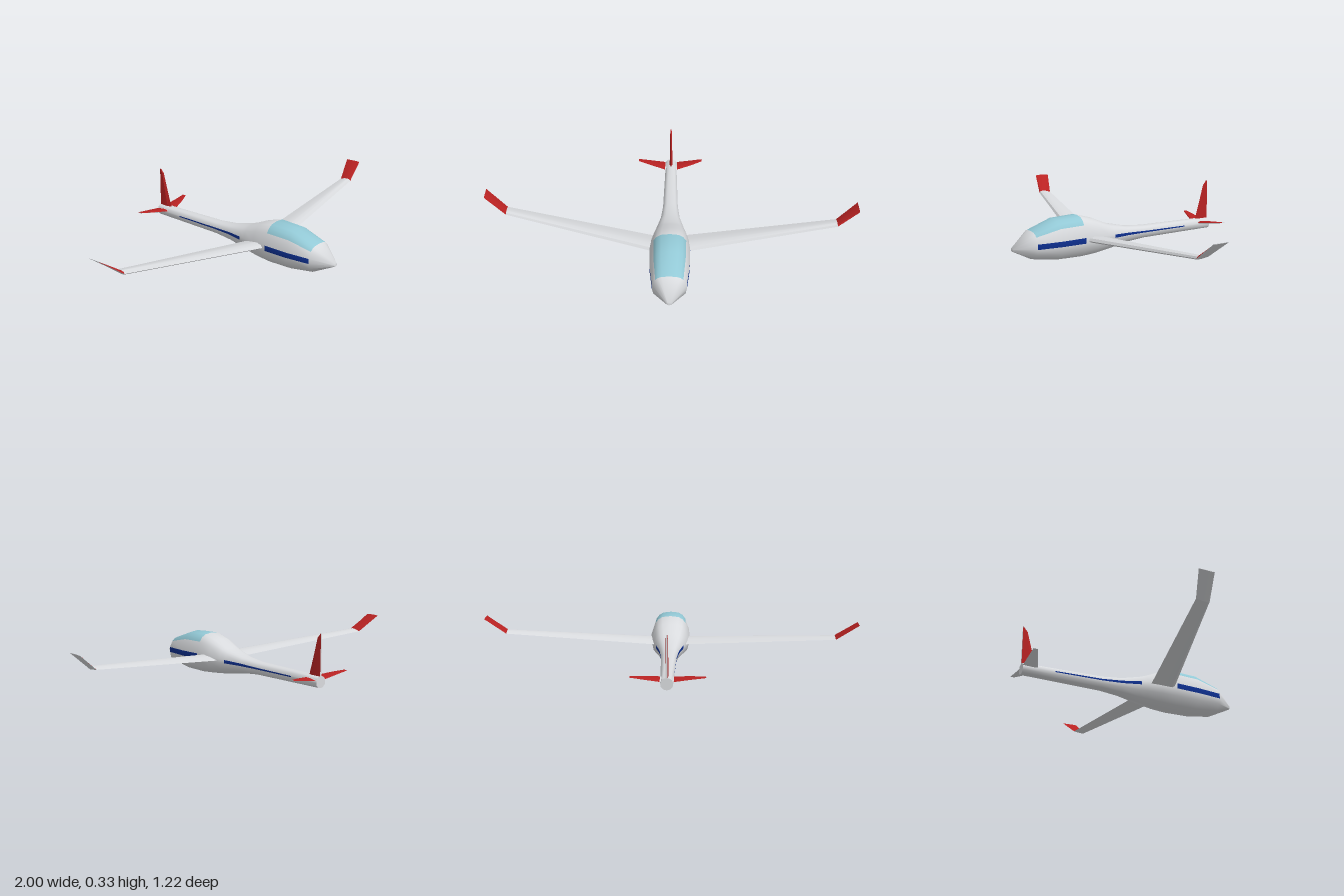
import * as THREE from 'three';
import { toCreasedNormals } from 'three/addons/utils/BufferGeometryUtils.js';

const mat = (name, color) => Object.assign(new THREE.MeshStandardMaterial({ color }), { name });

// Skins closed rings of [x, y, z] points; pick(i, j) gives the material slot
// of the panel after ring i, point j. Ends are capped with slot 0.
function loft(name, rings, materials, pick, crease) {
  const n = rings[0].length;
  const slots = materials.map(() => []);
  rings.slice(0, -1).forEach((_, i) => {
    for (let j = 0; j < n; j++) {
      const k = (j + 1) % n, a = i * n + j, b = i * n + k, c = a + n, d = b + n;
      slots[pick(i, j)].push(a, b, d, a, d, c);
    }
  });
  const last = (rings.length - 1) * n;
  for (let j = 1; j < n - 1; j++) {
    slots[0].push(0, j + 1, j, last, last + j, last + j + 1);
  }
  const points = rings.flat();
  // Turn all faces outward if the enclosed volume comes out negative
  const v = (i) => new THREE.Vector3(...points[i]);
  let volume = 0;
  for (const s of slots) {
    for (let t = 0; t < s.length; t += 3) volume += v(s[t]).dot(v(s[t + 1]).cross(v(s[t + 2])));
  }
  if (volume < 0) slots.forEach((s) => s.reverse());

  const geo = new THREE.BufferGeometry();
  geo.setAttribute('position', new THREE.Float32BufferAttribute(points.flat(), 3));
  geo.setIndex(slots.flat());
  let start = 0;
  slots.forEach((s, slot) => {
    if (s.length) geo.addGroup(start, s.length, slot);
    start += s.length;
  });
  const mesh = new THREE.Mesh(toCreasedNormals(geo, crease), materials);
  mesh.name = name;
  return mesh;
}

// Airfoil as [chord fraction, height]; the first four panels are the upper side
const AIRFOIL = [[0, 0], [0.08, 0.5], [0.3, 0.7], [0.65, 0.45], [1, 0], [0.5, -0.25], [0.12, -0.35]];
const airfoilRing = ([x, y, front, rear, thick]) =>
  AIRFOIL.map(([c, h]) => [x, y + h * thick, front + (rear - front) * c]);

export function createModel() {
  const model = new THREE.Group();
  model.name = 'glider';
  const white = mat('bodyWhite', 0xd9dbde);
  const red = mat('trimRed', 0xb82222);
  const blue = mat('stripeBlue', 0x0d2e8c);
  const glass = mat('canopyGlass', 0x93c9d6);

  // Fuselage stations: z, half width, bottom, stripe bottom, stripe top, top
  const stations = [
    [0.61, 0.012, 0.073, 0.08, 0.084, 0.092],
    [0.505, 0.088, 0.02, 0.087, 0.115, 0.17],
    [0.37, 0.103, 0.001, 0.088, 0.117, 0.22],
    [0.235, 0.107, 0, 0.09, 0.12, 0.225],
    [0.15, 0.1, 0.007, 0.09, 0.115, 0.2],
    [0.075, 0.084, 0.017, 0.09, 0.11, 0.166],
    [0.04, 0.075, 0.022, 0.09, 0.108, 0.154],
    [-0.06, 0.052, 0.04, 0.088, 0.102, 0.13],
    [-0.17, 0.041, 0.05, 0.087, 0.096, 0.12],
    [-0.435, 0.035, 0.053, 0.087, 0.093, 0.117],
    [-0.61, 0.031, 0.055, 0.085, 0.092, 0.115],
  ];
  const upper = [[0, 1], [0.42, 0.95], [0.64, 0.82], [0.8, 0.6], [1, 0]];
  const lower = [[1, 0], [0.93, 0.45], [0.55, 0.86], [0, 1]];
  const hull = stations.map(([z, w, bottom, s0, s1, top]) => {
    const half = [
      ...upper.map(([u, t]) => [u * w, s1 + (top - s1) * t, z]),
      ...lower.map(([u, t]) => [u * w, s0 + (bottom - s0) * t, z]),
    ];
    const mirrored = half.slice(1, -1).reverse().map(([x, y, q]) => [-x, y, q]);
    return [...half, ...mirrored];
  });
  model.add(loft('fuselage', hull, [white, glass, blue], (i, j) => {
    const panel = Math.min(j, 15 - j);
    if (panel < 3 && (i === 1 || i === 2)) return 1;
    if (panel === 4 && (i === 1 || i === 2 || (i >= 6 && i <= 8))) return 2;
    return 0;
  }, 0.95));

  // Wings with upturned tips: x, y, leading z, trailing z, thickness
  const wings = {
    leftWing: [
      [0.04, 0.097, 0.23, 0.09, 0.03],
      [0.1, 0.101, 0.222, 0.085, 0.028],
      [0.89, 0.17, 0.097, 0.03, 0.018],
      [1, 0.258, 0.085, -0.003, 0.003],
    ],
    rightWing: [
      [-0.04, 0.097, 0.235, 0.1, 0.03],
      [-0.1, 0.101, 0.222, 0.088, 0.028],
      [-0.885, 0.17, 0.008, -0.064, 0.018],
      [-1, 0.258, -0.025, -0.108, 0.003],
    ],
  };
  for (const [name, sections] of Object.entries(wings)) {
    model.add(loft(name, sections.map(airfoilRing), [white, red],
      (i, j) => (i === 2 && j < 4 ? 1 : 0), 0.4));
  }

  // Tailplane halves, red on top
  for (const [name, side, span] of [['leftTailplane', 1, 0.18], ['rightTailplane', -1, 0.19]]) {
    const sections = [
      [0, 0.092, -0.525, -0.61, 0.014],
      [side * 0.034, 0.097, -0.53, -0.61, 0.013],
      [side * 0.12, 0.109, -0.56, -0.61, 0.009],
      [side * span, 0.118, -0.587, -0.61, 0.003],
    ];
    model.add(loft(name, sections.map(airfoilRing), [white, red],
      (i, j) => (i > 0 && j < 4 ? 1 : 0), 0.4));
  }

  // Fin sections: y at front, y at rear, leading z, half thickness
  const finProfile = [[0, 0], [0.3, 1], [1, 0.6], [1, -0.6], [0.3, -1]];
  const fin = [
    [0.1, 0.1, -0.527, 0.008],
    [0.2, 0.2, -0.556, 0.007],
    [0.305, 0.31, -0.584, 0.005],
    [0.328, 0.33, -0.604, 0.003],
  ].map(([yf, yr, front, t]) =>
    finProfile.map(([c, s]) => [s * t, yf + (yr - yf) * c, front + (-0.61 - front) * c]));
  model.add(loft('fin', fin, [white, red], (i, j) => (j === 2 ? 0 : 1), 0.4));

  return model;
}
